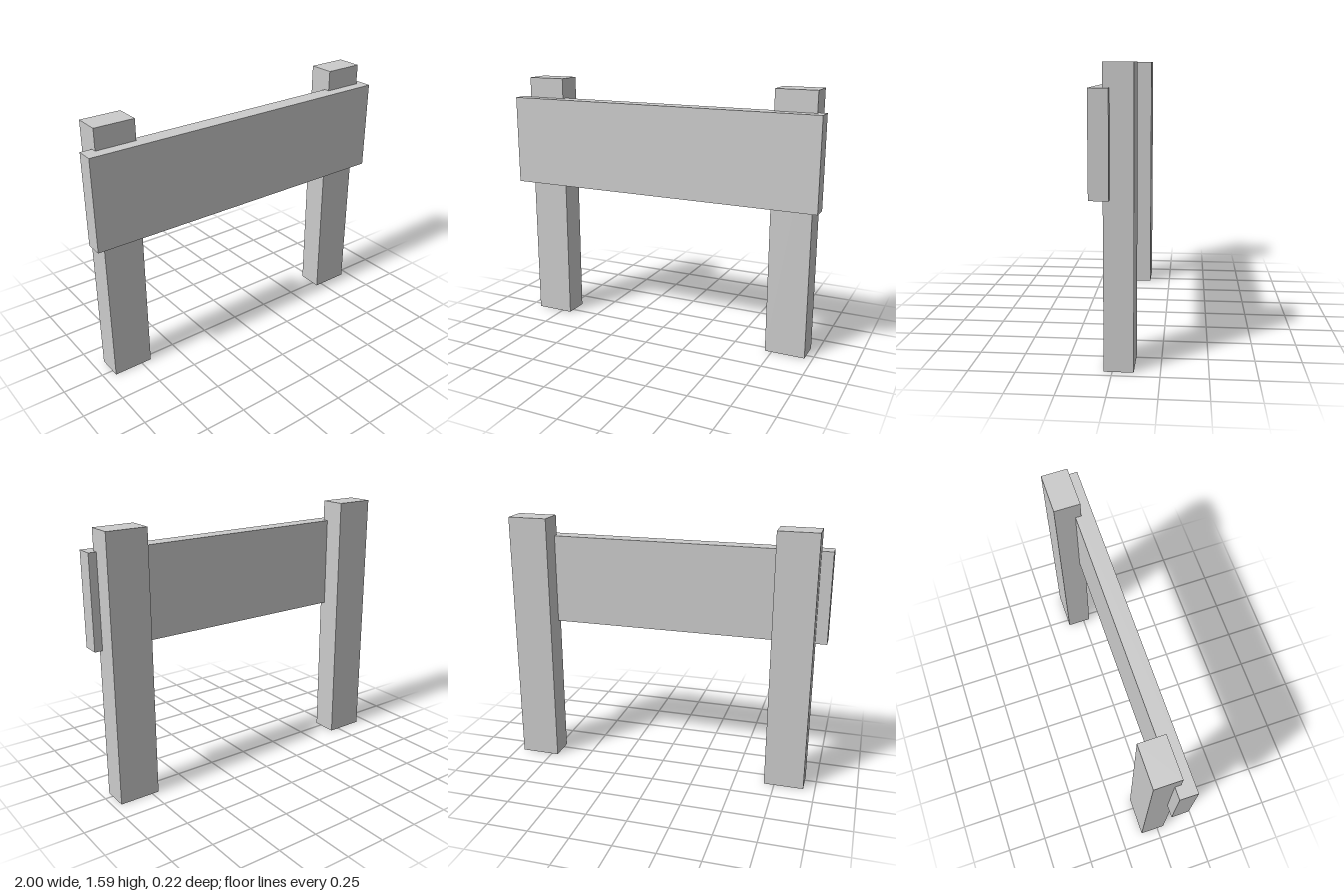
import * as THREE from 'three';

const material = new THREE.MeshStandardMaterial({ color: 0xcccccc, flatShading: true, side: THREE.DoubleSide });

// Box given by its minimum and maximum corners
function boxBetween(name, [x0, y0, z0], [x1, y1, z1]) {
  const geometry = new THREE.BoxGeometry(x1 - x0, y1 - y0, z1 - z0);
  geometry.translate((x0 + x1) / 2, (y0 + y1) / 2, (z0 + z1) / 2);
  const mesh = new THREE.Mesh(geometry, material);
  mesh.name = name;
  return mesh;
}

// Hollow post: a box without its bottom face
function post(name, x0, x1) {
  const mesh = boxBetween(name, [x0, 0, -0.112], [x1, 1.585, 0.044]);
  const index = Array.from(mesh.geometry.index.array);
  index.splice(18, 6); // fourth side of the box is the bottom
  mesh.geometry.setIndex(index);
  mesh.geometry.clearGroups();
  return mesh;
}

export function createModel() {
  const sign = new THREE.Group();
  sign.name = 'signboard';

  // Two upright posts, slightly off centre
  sign.add(post('rightPost', -0.93, -0.687));
  sign.add(post('leftPost', 0.708, 0.953));

  // Board let into the front of the posts
  sign.add(boxBetween('board', [-1, 0.907, 0.009], [1, 1.46, 0.112]));

  return sign;
}
